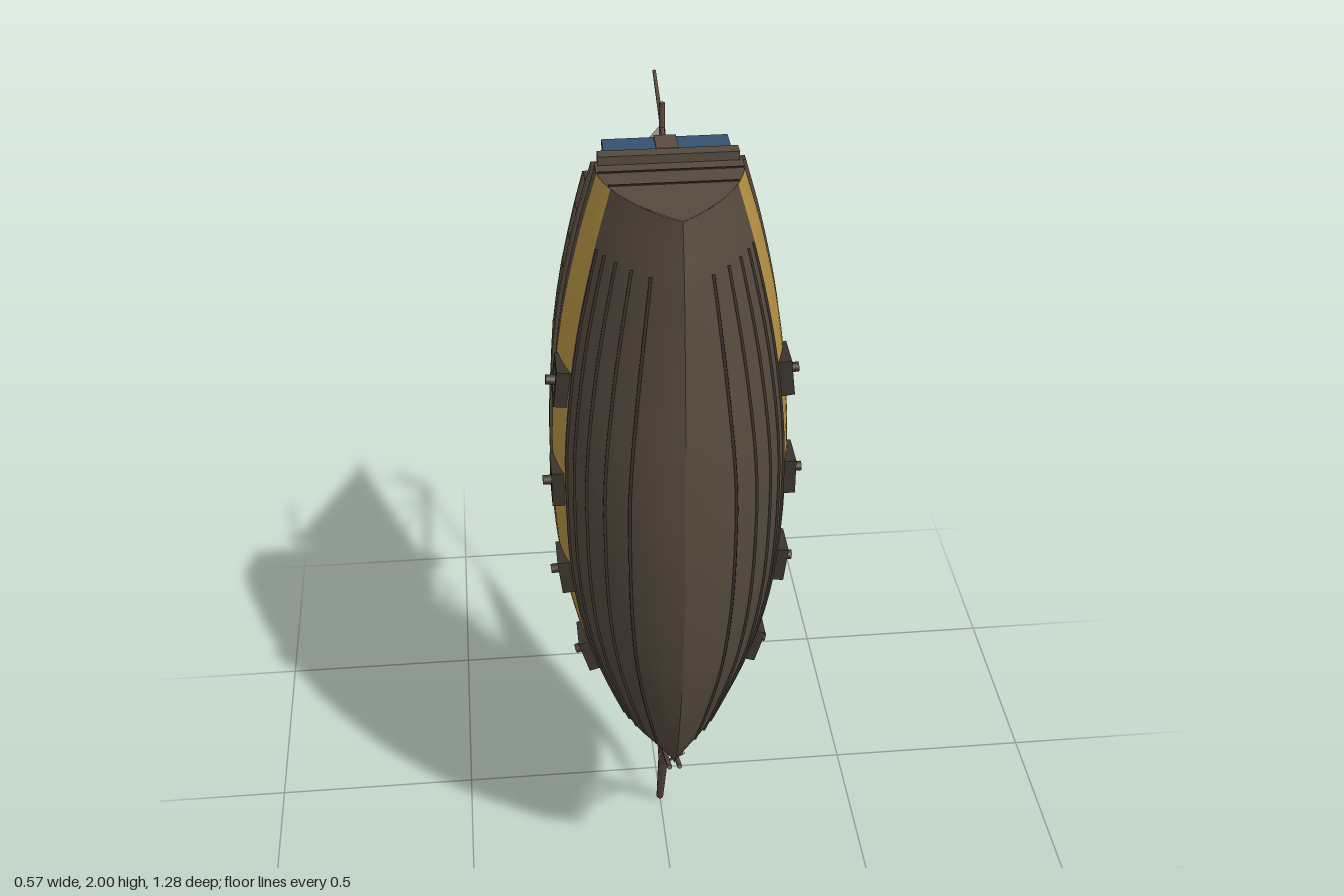
import * as THREE from 'three';

const mat = (name, color, side = THREE.FrontSide) => {
  const m = new THREE.MeshStandardMaterial({ color, side });
  m.name = name;
  return m;
};
const M = {
  hull: mat('dark hull wood', 0x54493d, THREE.DoubleSide),
  gold: mat('ochre paint', 0xb39042, THREE.DoubleSide),
  deck: mat('deck wood', 0x8e765c, THREE.DoubleSide),
  sail: mat('sailcloth', 0xeeeade, THREE.DoubleSide),
  spar: mat('spar wood', 0x5c4b3e),
  dark: mat('dark trim', 0x3b332c),
  red: mat('red paint', 0x98503d),
  blue: mat('blue paint', 0x35526f),
  rope: mat('rope', 0x7a6957),
};
const V = (x, y, z) => new THREE.Vector3(x, y, z);

// Hull stations: y at sheer, y at keel, half width, z of sheer, z of keel
const stations = [
  [1.93, 1.93, .155, .26, .535], [1.8, 1.8, .192, .255, .572], [1.6, 1.6, .235, .25, .606],
  [1.4, 1.4, .257, .25, .632], [1.2, 1.2, .262, .25, .64], [1, 1, .252, .248, .628],
  [.8, .82, .217, .245, .602], [.63, .67, .165, .242, .563], [.5, .56, .115, .24, .525],
  [.42, .5, .062, .24, .492], [.34, .45, .004, .245, .46]];
const curveA = new THREE.CatmullRomCurve3(stations.map(s => V(s[0], s[1], s[2])));
const curveB = new THREE.CatmullRomCurve3(stations.map(s => V(s[3], s[4], 0)));

// Point on the hull: u runs stern to bow, f runs sheer to keel; the ends are sharper than midships
function hullPoint(u, f, side = 1, out = 0) {
  const a = curveA.getPoint(u), b = curveB.getPoint(u);
  const k = Math.max(0, 1 - u * 3, (u - .6) * 1.25);
  const w = Math.pow(Math.max(0, 1 - Math.pow(f, 2.5 - .5 * k)), .7 + .2 * k) * (1 - .03 * Math.max(0, 1 - f / .18));
  return V(side * Math.max(0, a.z * w + out), a.x + (a.y - a.x) * f, b.x + (b.y - b.x) * f + out * f);
}
function uAt(y, f) {
  let lo = 0, hi = 1;
  for (let i = 0; i < 30; i++) {
    const m = (lo + hi) / 2;
    if (hullPoint(m, f).y > y) lo = m; else hi = m;
  }
  return lo;
}

// Grid surface from a function of two parameters
function surface(fn, nu, nv) {
  const pos = [], idx = [];
  for (let i = 0; i <= nu; i++) for (let j = 0; j <= nv; j++) pos.push(...fn(i / nu, j / nv).toArray());
  for (let i = 0; i < nu; i++) for (let j = 0; j < nv; j++) {
    const a = i * (nv + 1) + j, b = a + nv + 1;
    idx.push(a, b, a + 1, b, b + 1, a + 1);
  }
  const g = new THREE.BufferGeometry();
  g.setAttribute('position', new THREE.Float32BufferAttribute(pos, 3));
  g.setIndex(idx);
  g.computeVertexNormals();
  return g;
}

export function createModel() {
  const root = new THREE.Group();
  root.name = 'sailingShip';
  const add = (name, geo, material, parent = root) => {
    const m = new THREE.Mesh(geo, material);
    m.name = name;
    parent.add(m);
    return m;
  };
  const box = (name, w, h, d, x, y, z, material, parent) => {
    const m = add(name, new THREE.BoxGeometry(w, h, d), material, parent);
    m.position.set(x, y, z);
    return m;
  };
  const rod = (name, a, b, r0, r1, material, sides = 10) => {
    const m = add(name, new THREE.CylinderGeometry(r1, r0, a.distanceTo(b), sides), material);
    m.position.copy(a).lerp(b, .5);
    m.quaternion.setFromUnitVectors(V(0, 1, 0), b.clone().sub(a).normalize());
    return m;
  };
  const rope = (name, a, b, r = .0035) => rod(name, a, b, r, r, M.rope, 5);
  const tube = (name, pts, r, material, n = 32) =>
    add(name, new THREE.TubeGeometry(new THREE.CatmullRomCurve3(pts), n, r, 6), material);

  for (const s of [1, -1]) {
    // Hull sides: bulwark, painted band, bottom
    const band = (name, f0, f1, n, material) =>
      add(name, surface((u, v) => hullPoint(u, f0 + (f1 - f0) * v, s), 50, n), material);
    band('bulwark', 0, .18, 3, M.hull);
    band('paintedBand', .18, .44, 5, M.gold);
    band('hullBottom', .44, 1, 18, M.hull);

    // Gunwale cap
    const corners = [[.008, -.008], [-.03, -.008], [-.03, .012], [.008, .012], [.008, -.008]];
    add('gunwale', surface((u, v) => {
      const p = hullPoint(u, 0), c = corners[Math.round(v * 4)];
      return V(s * Math.max(0, p.x + c[0]), p.y, p.z + c[1]);
    }, 50, 4), M.hull);

    // Raised strakes along the bottom
    for (const f of [.47, .55, .65, .76, .87]) {
      const pts = [];
      for (let i = 0; i <= 12; i++) pts.push(hullPoint(uAt(1.81 - i * .105, f), f, s, .001));
      tube('strake', pts, .0035, M.dark, 40);
    }

    // Gun ports
    for (const y of [1.485, 1.235, .99, .745]) {
      const u = uAt(y, .32), p = hullPoint(u, .32, s);
      const q = hullPoint(uAt(y - .04, .32), .32), r = hullPoint(uAt(y + .04, .32), .32);
      const g = new THREE.Group();
      g.name = 'gunPort';
      g.position.copy(p);
      g.rotation.z = -s * Math.atan2(r.x - q.x, .08);
      root.add(g);
      for (const e of [-1, 1]) {
        box('portFrame', .03, .014, .084, 0, e * .035, 0, M.dark, g);
        box('portFrame', .03, .084, .014, 0, 0, e * .035, M.dark, g);
      }
      box('portPanel', .02, .06, .06, 0, 0, 0, M.red, g);
      const c = add('cannon', new THREE.CylinderGeometry(.011, .011, .05, 10), M.dark, g);
      c.rotation.z = Math.PI / 2;
      c.position.x = s * .008;
    }

    // Quarter railing with posts
    const railZ = y => y > 1.5 ? .178 : .178 + (1.5 - y) * .37;
    const railAt = (y, k) => {
      const p = hullPoint(uAt(y, 0), 0, s);
      return V(p.x - s * .004, y, p.z + (railZ(y) - p.z) * k);
    };
    const ys = [1.87, 1.8, 1.73, 1.66, 1.59, 1.52, 1.44, 1.36];
    for (let i = 0; i < ys.length; i++) {
      rod('railPost', railAt(ys[i], 0), railAt(ys[i], 1), .006, .006, M.hull, 6);
      if (i) {
        rod('topRail', railAt(ys[i - 1], 1), railAt(ys[i], 1), .009, .009, M.hull, 6);
        rod('lowRail', railAt(ys[i - 1], .3), railAt(ys[i], .3), .006, .006, M.hull, 6);
      }
    }

    // Shrouds, backstay and bow rigging
    rope('shroud', V(0, 1.17, -.2), V(s * .243, 1.03, .243));
    rope('shroud', V(0, 1.17, -.2), V(s * .23, .91, .243));
    rope('backstay', V(0, 1.17, -.6), V(s * .185, 1.8, .22));
    rope('bobstay', V(s * .03, .415, .39), V(0, .19, .185));
    rod('headRail', V(s * .012, .442, .465), V(s * .012, .325, .24), .006, .006, M.spar, 6);
    tube('bowRail', [.95, .75, .58, .42].map(y => hullPoint(uAt(y, 0), 0, s).add(V(0, 0, -.016))), .004, M.dark);
  }

  // Deck and plank seams
  add('deck', surface((u, v) => {
    const p = hullPoint(u, .05);
    return V(p.x * (2 * v - 1), p.y, p.z);
  }, 50, 4), M.deck);
  for (let y = .52; y < 1.85; y += .145) {
    const p = hullPoint(uAt(y, .05), .05);
    box('deckSeam', p.x * 1.9, .007, .006, 0, y, p.z - .002, M.dark);
  }

  // Transom with its seams and cap
  add('transom', surface((u, v) => {
    const p = hullPoint(0, u);
    return V(p.x * (2 * v - 1), 1.931, p.z);
  }, 24, 2), M.hull);
  for (const f of [.18, .4]) {
    const p = hullPoint(0, f);
    box('transomSeam', p.x * 1.98, .005, .004, 0, 1.931, p.z, M.dark);
  }
  box('transomCap', .29, .04, .03, 0, 1.93, .26, M.hull);
  for (const s of [-1, 1]) box('sternPanel', .108, .042, .062, s * .077, 1.926, .215, M.blue);
  box('sternPost', .046, .046, .064, 0, 1.928, .215, M.spar);
  box('sternRail', .26, .016, .012, 0, 1.93, .174, M.spar);
  rod('sternStaff', V(0, 1.93, .18), V(0, 2, -.035), .005, .004, M.spar, 6);
  rod('tiller', V(0, 1.82, .235), V(0, 1.64, .24), .008, .006, M.dark, 6);

  // Hatch grating
  const hatch = new THREE.Group();
  hatch.name = 'hatch';
  hatch.position.set(0, 1.4, .257);
  root.add(hatch);
  box('hatchBase', .085, .1, .016, 0, 0, 0, M.deck, hatch);
  for (const e of [-1, 1]) {
    box('hatchFrame', .01, .11, .022, e * .042, 0, -.002, M.spar, hatch);
    box('hatchFrame', .095, .01, .022, 0, e * .05, -.002, M.spar, hatch);
    box('hatchSlat', .006, .1, .018, e * .015, 0, -.002, M.dark, hatch);
  }

  // Mast with its top
  box('mastStep', .06, .06, .02, 0, 1.165, .26, M.dark);
  rod('lowerMast', V(0, 1.165, .28), V(0, 1.17, -.25), .018, .014, M.spar, 12);
  rod('upperMast', V(0, 1.178, -.2), V(0, 1.168, -.625), .01, .006, M.spar, 10);
  rod('mastTop', V(0, 1.172, -.222), V(0, 1.172, -.246), .041, .041, M.dark, 16);
  add('mastCap', new THREE.SphereGeometry(.011, 12, 8), M.spar).position.set(0, 1.168, -.628);

  // Boom, gaff and bowsprit
  rod('boom', V(0, 1.16, .14), V(0, 2, .133), .009, .006, M.spar);
  rod('gaff', V(0, 1.2, -.215), V(0, 1.61, -.508), .008, .005, M.spar);
  rod('bowsprit', V(0, .42, .275), V(0, .005, .112), .016, .009, M.spar);

  // Main sail, bellied to one side
  const tack = V(0, 1.225, .137), clew = V(0, 1.955, .12), throat = V(0, 1.21, -.215), peak = V(0, 1.6, -.5);
  add('mainSail', surface((u, v) => {
    const p = tack.clone().lerp(clew, u).lerp(throat.clone().lerp(peak, u), v);
    p.x = .006 + .062 * Math.sin(Math.PI * u) * Math.pow(Math.sin(Math.PI * Math.min(1, v * .9 + .1)), .8);
    return p;
  }, 20, 20), M.sail);

  // Head sail
  const head = V(0, .85, -.38), jibTack = V(0, .105, .127), jibClew = V(.045, .74, .178);
  add('headSail', surface((u, v) => {
    const p = jibTack.clone().lerp(head, u).lerp(jibTack.clone().lerp(jibClew, u), v);
    p.x += .066 * Math.sin(Math.PI * u) * Math.sin(Math.PI * v * .7);
    p.z -= .015 * Math.sin(Math.PI * u) * v;
    return p;
  }, 20, 16), M.sail);

  // Centre line rigging
  rope('forestay', V(0, 1.165, -.6), V(0, .1, .13));
  tube('peakHalyard', [V(0, 1.17, -.595), V(0, 1.38, -.545), V(0, 1.61, -.51)], .0035, M.rope);

  // Streaming pennant
  tube('pennant', [V(0, 1.185, -.632), V(.004, 1.225, -.632), V(-.004, 1.265, -.612),
    V(.004, 1.305, -.601), V(0, 1.345, -.612)], .008, M.red);

  return root;
}
